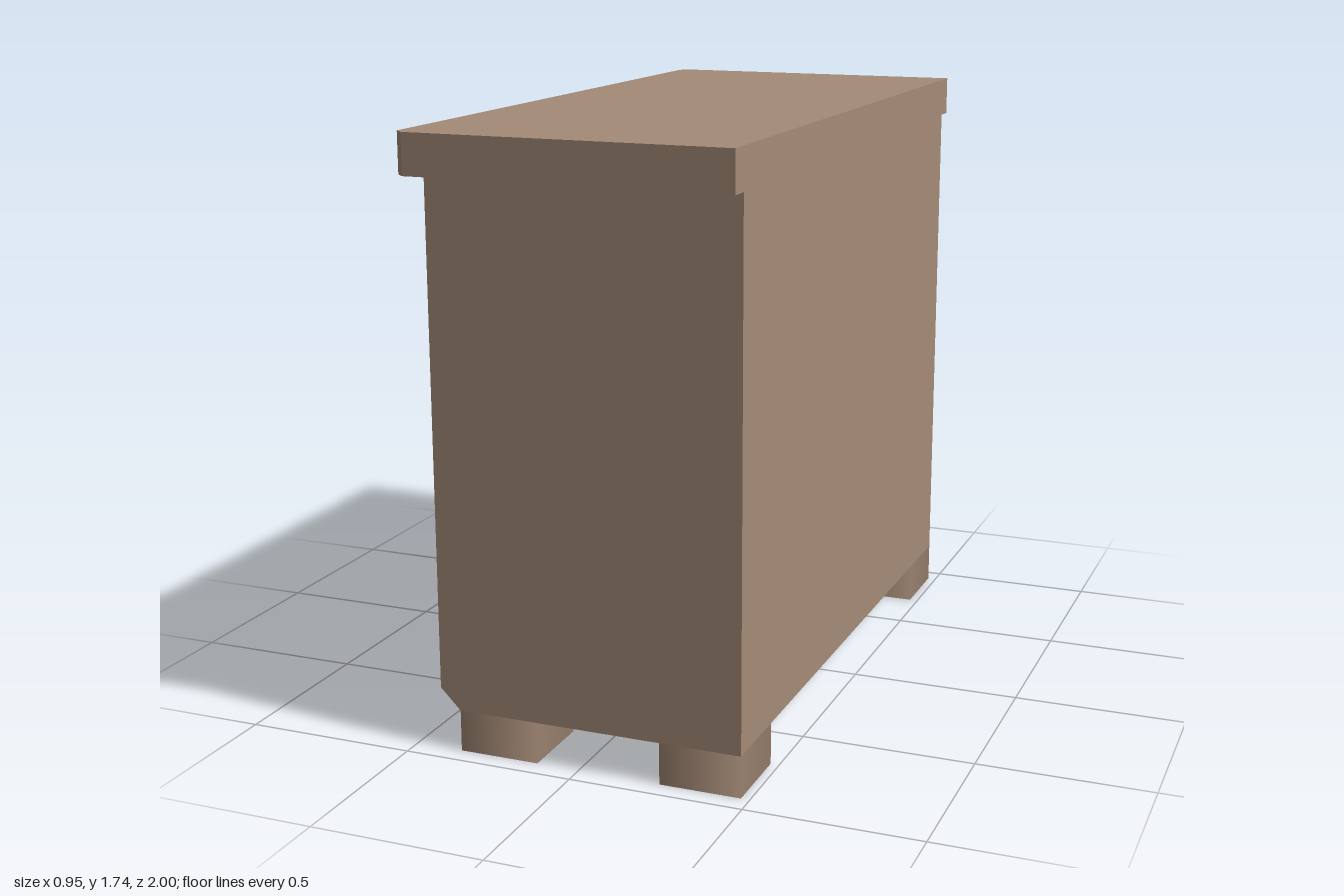
import * as THREE from 'three';

export function createModel() {
  const model = new THREE.Group();
  model.name = 'wardrobe';
  const wood = new THREE.MeshStandardMaterial({ color: 0xa58b77 });
  wood.name = 'wood';
  const metal = new THREE.MeshStandardMaterial({ color: 0x70707c });
  metal.name = 'grey metal';

  const add = (name, geometry, material, x = 0, y = 0, z = 0) => {
    const mesh = new THREE.Mesh(geometry, material);
    mesh.name = name;
    mesh.position.set(x, y, z);
    model.add(mesh);
    return mesh;
  };
  // box given by its lowest and highest corners
  const board = (name, [x0, y0, z0], [x1, y1, z1]) =>
    add(name, new THREE.BoxGeometry(x1 - x0, y1 - y0, z1 - z0), wood,
      (x0 + x1) / 2, (y0 + y1) / 2, (z0 + z1) / 2);
  const extrude = (points, depth) => new THREE.ExtrudeGeometry(
    new THREE.Shape(points.map(([x, y]) => new THREE.Vector2(x, y))),
    { depth, bevelEnabled: false });

  const back = 0.475, edge = -0.42, inset = -0.36;
  const floorY = 0.12, topY = 1.62, height = 1.735;
  const outer = 0.94, inner = 0.82, thick = 0.12;

  // top slab with clipped corners along the open side
  const c = 0.025;
  const slab = extrude([[back, -1], [back, 1], [-back + c, 1], [-back, 1 - c],
    [-back, -1 + c], [-back + c, -1]], height - topY);
  slab.rotateX(-Math.PI / 2);
  add('topSlab', slab, wood, 0, topY, 0);

  // end panels, clipped at the lower open edge
  const panel = extrude([[inset, floorY], [back, floorY], [back, topY],
    [edge, topY], [edge, 0.18]], thick);
  add('endPanelFront', panel, wood, 0, 0, inner);
  add('endPanelRear', panel, wood, 0, 0, -outer);

  // closed wall, floor and ceiling boards
  board('closedWall', [back - thick, floorY, -inner], [back, topY, inner]);
  board('floorBoard', [inset, floorY, -inner], [back - thick, floorY + thick, inner]);
  board('ceilingBoard', [inset, topY - thick, -inner], [back - thick, topY, inner]);

  // softly shaded square feet
  const foot = new THREE.CylinderGeometry(0.1175 * Math.SQRT2, 0.1175 * Math.SQRT2, floorY, 4);
  foot.rotateY(Math.PI / 4);
  for (const x of [-0.2425, 0.3575])
    for (const z of [-0.8225, 0.8225]) add('foot', foot, wood, x, floorY / 2, z);

  // hanging rail with hexagonal end brackets
  const railX = 0.11, railY = 1.11;
  const rail = new THREE.CylinderGeometry(0.06, 0.06, inner * 2, 16, 1, true);
  rail.rotateX(Math.PI / 2);
  add('hangingRail', rail, metal, railX, railY, 0);
  const hex = [...Array(6).keys()].map(i =>
    [0.115 * Math.cos(i * Math.PI / 3), 0.115 * Math.sin(i * Math.PI / 3)]);
  const bracket = extrude(hex, 0.06);
  add('railBracketFront', bracket, metal, railX, railY, inner - 0.06);
  add('railBracketRear', bracket, metal, railX, railY, -inner);

  return model;
}
